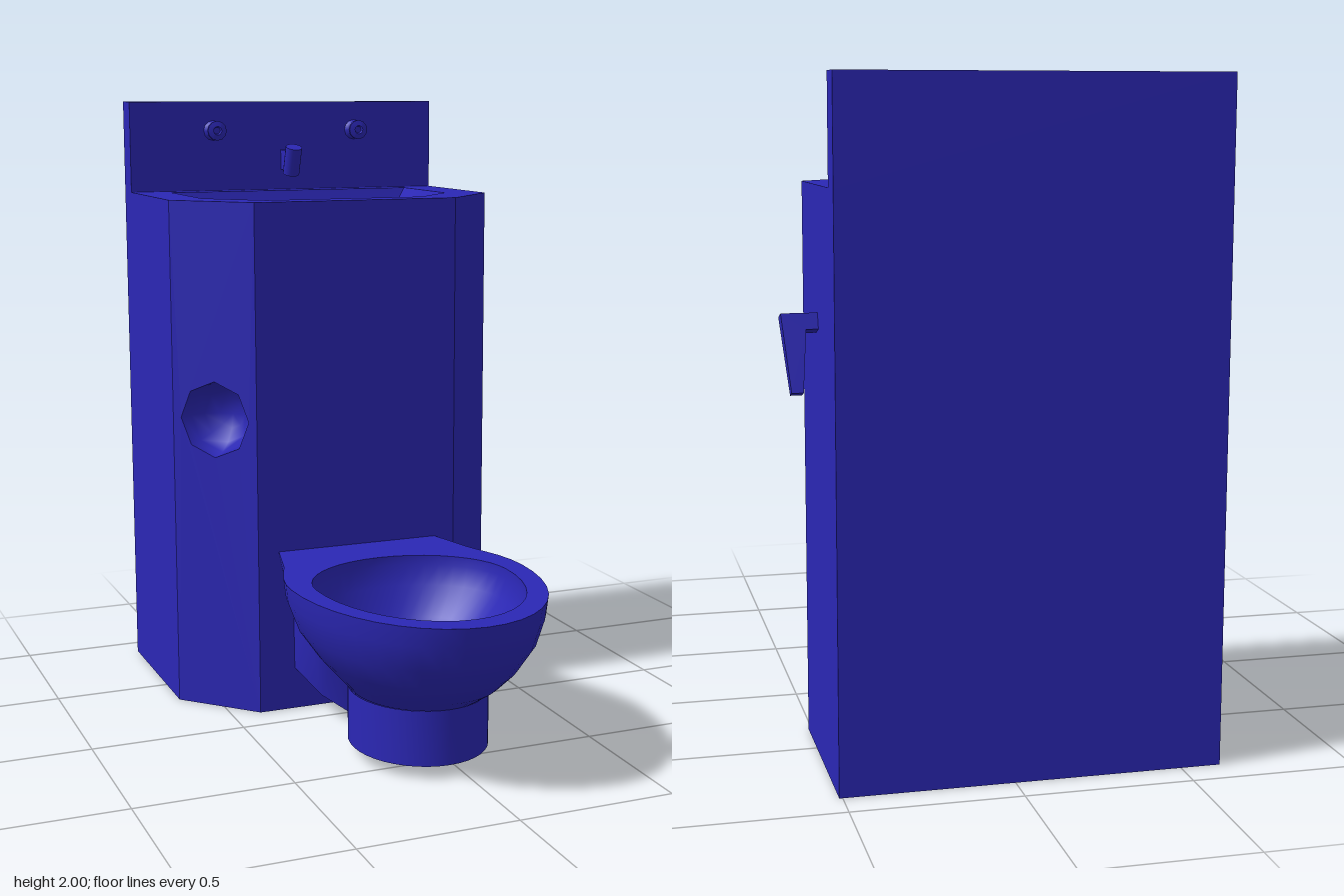
import * as THREE from 'three';
import { toCreasedNormals } from 'three/addons/utils/BufferGeometryUtils.js';

const CX = -0.055; // centre line of the fixture
const blue = new THREE.MeshStandardMaterial({ color: 0x2b27b5, side: THREE.DoubleSide });

function add(parent, name, geometry, x = 0, y = 0, z = 0) {
  const mesh = new THREE.Mesh(geometry, blue);
  mesh.name = name;
  mesh.position.set(x, y, z);
  parent.add(mesh);
  return mesh;
}

// Skin a row of cross-sections, each a list of [x, y, z]
function loft(rings, { closed = true, capEnd = false, crease = 0.6 } = {}) {
  const n = rings[0].length, index = [];
  const points = rings.flat();
  for (let r = 0; r < rings.length - 1; r++) {
    for (let i = 0; i < (closed ? n : n - 1); i++) {
      const a = r * n + i, b = r * n + (i + 1) % n;
      index.push(a, b, a + n, b, b + n, a + n);
    }
  }
  if (capEnd) {
    const s = (rings.length - 1) * n;
    for (let i = 1; i < n - 1; i++) index.push(s, s + i, s + i + 1);
  }
  const g = new THREE.BufferGeometry();
  g.setAttribute('position', new THREE.Float32BufferAttribute(points.flat(), 3));
  g.setIndex(index);
  return toCreasedNormals(g, crease);
}

// Egg-shaped horizontal ring: different half lengths to front and back
function egg([y, half, front, back, mid], n = 40) {
  return Array.from({ length: n }, (_, i) => {
    const a = -i / n * Math.PI * 2, c = Math.cos(a);
    return [CX + half * Math.sin(a), y, mid + c * (c > 0 ? front - mid : mid - back)];
  });
}

// Horizontal plate facing up, from [x, z] outlines
function plate(outline, hole) {
  const v = (list) => list.map(([x, z]) => new THREE.Vector2(x, -z));
  const shape = new THREE.Shape(v(outline));
  if (hole) shape.holes.push(new THREE.Path(v(hole)));
  return new THREE.ShapeGeometry(shape).rotateX(-Math.PI / 2);
}

function makeCabinet() {
  const g = new THREE.Group();
  g.name = 'cabinet';
  const H = 1.69;
  const foot = [[-0.405, -0.11], [0.295, -0.11], [0.51, -0.335], [0.51, -0.9], [-0.62, -0.9], [-0.62, -0.335]];
  const rim = [[-0.495, -0.745], [0.38, -0.745], [0.38, -0.385], [0.215, -0.205], [-0.33, -0.205], [-0.495, -0.385]];
  const drain = [[-0.09, -0.545], [-0.02, -0.545], [-0.02, -0.515], [-0.035, -0.495], [-0.075, -0.495], [-0.09, -0.515]];

  // Open-bottomed walls, leaving out the angled panel with the recess
  const level = (list, y) => list.map(([x, z]) => [x, y, z]);
  add(g, 'cabinetWalls', loft([level(foot, H), level(foot, 0)], { closed: false, crease: 0.3 }));
  add(g, 'counterTop', plate(foot, rim), 0, H, 0);
  add(g, 'backsplash', new THREE.BoxGeometry(1.13, 2 - H, 0.085), CX, (H + 2) / 2, -0.8575);

  // Basin sloping to an off-centre drain
  const steps = [[0, 0], [0.12, 0.07], [0.3, 0.13], [0.6, 0.2], [1, 0.25], [1, 0.28]];
  const rings = steps.map(([t, d]) => rim.map(([x, z], i) =>
    [x + (drain[i][0] - x) * t, H - d, z + (drain[i][1] - z) * t]));
  add(g, 'basin', loft(rings, { capEnd: true, crease: 0.8 }));

  // Angled panel with the round paper recess
  const panel = new THREE.Group();
  panel.name = 'recessPanel';
  panel.position.set(-0.5125, 0.98, -0.2225);
  panel.rotation.y = -Math.atan2(0.225, 0.215);
  const w = Math.hypot(0.215, 0.225) / 2, R = 0.126;
  const shape = new THREE.Shape([[-w, -0.98], [w, -0.98], [w, H - 0.98], [-w, H - 0.98]].map((p) => new THREE.Vector2(...p)));
  shape.holes.push(new THREE.Path(Array.from({ length: 8 }, (_, i) =>
    new THREE.Vector2(R * Math.cos(i * Math.PI / 4), R * Math.sin(i * Math.PI / 4)))));
  add(panel, 'angledPanel', new THREE.ShapeGeometry(shape));
  add(panel, 'paperRecess', new THREE.SphereGeometry(R, 8, 4, 0, Math.PI * 2, 0, Math.PI / 2).rotateX(-Math.PI / 2));
  g.add(panel);
  return g;
}

function makeFittings() {
  const g = new THREE.Group();
  g.name = 'fittings';
  // Push buttons either side of the spout
  const profile = [[0.035, 0], [0.03, 0.01], [0.016, 0.018], [0.016, 0.03], [0.034, 0.04], [0.034, 0.05], [0.015, 0.055], [0.012, 0.045], [0, 0.045]];
  for (const x of [-0.32, 0.21]) {
    const button = new THREE.LatheGeometry(profile.map((p) => new THREE.Vector2(...p)), 12);
    add(g, 'tapButton', toCreasedNormals(button.rotateX(Math.PI / 2), 0.6), x, 1.9, -0.815);
  }
  // Spout: short arm and tilted nozzle
  add(g, 'spoutArm', new THREE.BoxGeometry(0.03, 0.07, 0.08), CX, 1.795, -0.78);
  add(g, 'spoutNozzle', new THREE.CylinderGeometry(0.029, 0.029, 0.1, 16), CX, 1.795, -0.732).rotation.x = 0.34;

  // Side flush lever, tapering down and back
  const outline = [[0.505, 0], [0.615, 0], [0.597, -0.23], [0.563, -0.23], [0.545, -0.048], [0.505, -0.048]];
  const lever = new THREE.ExtrudeGeometry(new THREE.Shape(outline.map((p) => new THREE.Vector2(...p))), { depth: 0.05, bevelEnabled: false });
  const pos = lever.attributes.position;
  for (let i = 0; i < pos.count; i++) { // thinner towards the tip
    pos.setZ(i, pos.getZ(i) * (1 + pos.getY(i) * 1.3));
  }
  lever.computeVertexNormals();
  add(g, 'flushLever', lever, 0, 1.33, -0.607).rotation.x = 0.34;
  return g;
}

function makeToilet() {
  const g = new THREE.Group();
  g.name = 'toilet';
  const rimY = 0.545;
  const outer = [
    [rimY, 0.39, 0.89, -0.1, 0.33], [0.485, 0.384, 0.88, -0.08, 0.33], [0.4, 0.357, 0.845, -0.02, 0.35],
    [0.32, 0.303, 0.785, 0.05, 0.37], [0.26, 0.25, 0.715, 0.11, 0.385], [0.215, 0.21, 0.64, 0.15, 0.395]];
  const inner = [
    [rimY, 0.32, 0.81, 0.08, 0.36], [0.515, 0.32, 0.81, 0.08, 0.36], [0.45, 0.3, 0.78, 0.1, 0.36],
    [0.36, 0.23, 0.68, 0.15, 0.36], [0.29, 0.14, 0.53, 0.2, 0.35], [0.26, 0.052, 0.39, 0.26, 0.325],
    [0.235, 0.052, 0.39, 0.26, 0.325]];
  const base = [[0.215, 0.215, 0.64, 0.15, 0.395], [0.04, 0.215, 0.64, 0.15, 0.395], [0, 0.125, 0.54, 0.165, 0.35]];
  add(g, 'bowlOuter', loft(outer.map((r) => egg(r))));
  add(g, 'bowlInner', loft(inner.map((r) => egg(r)), { capEnd: true }));
  add(g, 'pedestal', loft(base.map((r) => egg(r)), { capEnd: true }));

  // Rim plate: egg front running into the straight neck at the wall
  const front = egg(outer[0]).filter((p) => p[2] > 0.14).map(([x, , z]) => [x, z]);
  front.sort((a, b) => Math.atan2(a[0] - CX, a[1] - 0.3) - Math.atan2(b[0] - CX, b[1] - 0.3));
  const rim = [[CX - 0.28, -0.11], [CX - 0.325, 0.07], ...front, [CX + 0.325, 0.07], [CX + 0.28, -0.11]];
  add(g, 'rim', plate(rim, egg(inner[0]).map(([x, , z]) => [x, z])), 0, rimY, 0);

  // Neck joining bowl to cabinet, and the outlet below it: [z, top half, bottom half, bottom y, top y]
  const section = ([z, a, b, y0, y1]) => [[CX - a, y1, z], [CX - b, y0, z], [CX + b, y0, z], [CX + a, y1, z]];
  const neck = [[-0.11, 0.28, 0.23, 0.32, rimY], [0.07, 0.325, 0.24, 0.28, rimY], [0.2, 0.365, 0.2, 0.27, rimY]];
  const outlet = [[-0.11, 0.23, 0.228, 0.14, 0.325], [0.02, 0.22, 0.18, 0.08, 0.29], [0.16, 0.2, 0.06, 0.005, 0.24], [0.3, 0.19, 0.1, 0.02, 0.215]];
  add(g, 'neck', loft(neck.map(section), { closed: false }));
  add(g, 'outlet', loft(outlet.map(section)));
  return g;
}

export function createModel() {
  const model = new THREE.Group();
  model.name = 'toiletAndBasinUnit';
  model.add(makeCabinet(), makeFittings(), makeToilet());
  return model;
}
